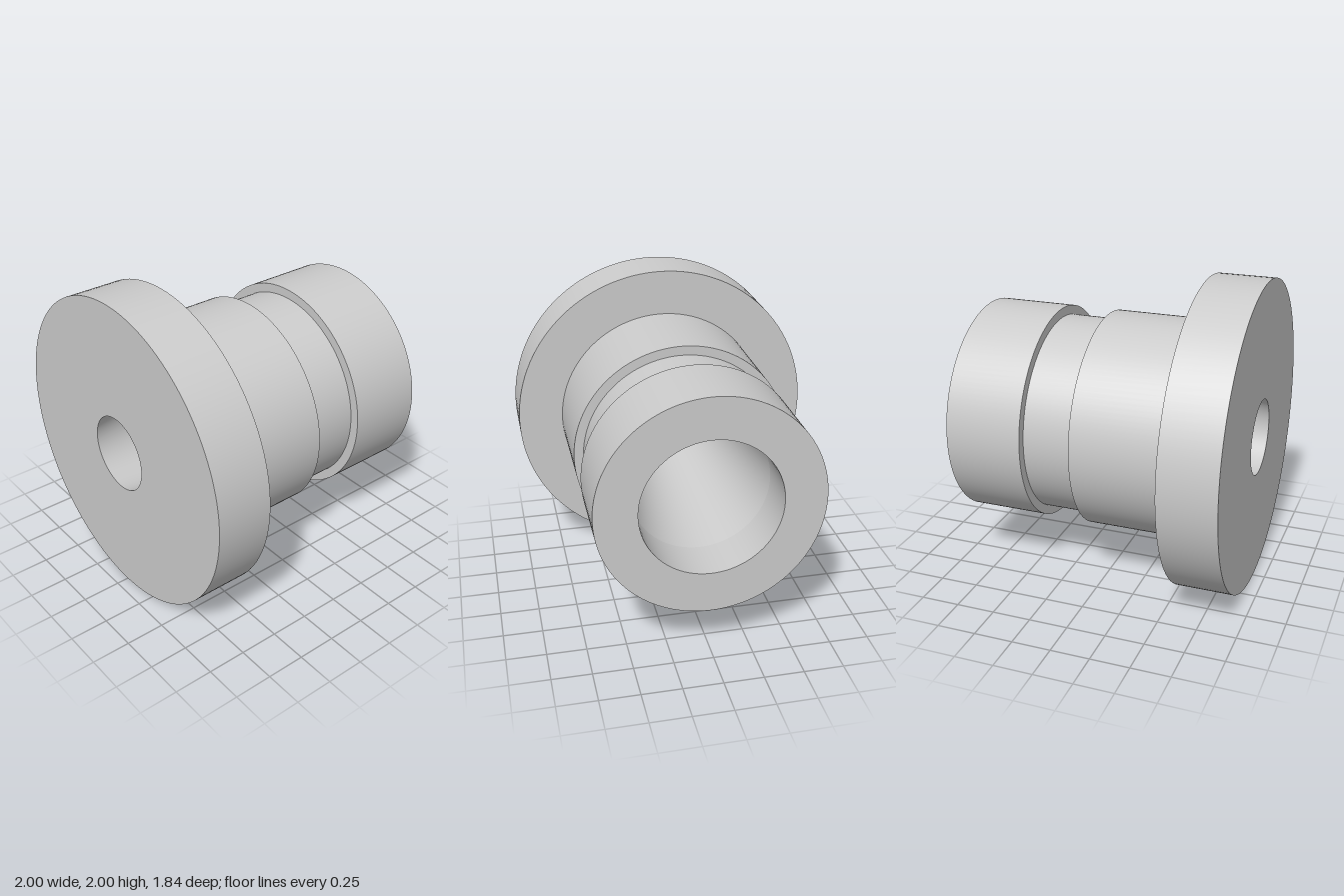
import * as THREE from 'three';
import { mergeGeometries } from 'three/addons/utils/BufferGeometryUtils.js';

const SEGMENTS = 128;

// Turned surface from [radius, z] points; each span is its own lathe so edges stay sharp.
function turned(name, profile, material) {
  const spans = [];
  for (let i = 0; i < profile.length - 1; i++) {
    const pts = [profile[i], profile[i + 1]].map(([r, z]) => new THREE.Vector2(r, z));
    spans.push(new THREE.LatheGeometry(pts, SEGMENTS));
  }
  const geometry = mergeGeometries(spans);
  geometry.rotateX(Math.PI / 2); // lathe axis y becomes z
  const mesh = new THREE.Mesh(geometry, material);
  mesh.name = name;
  return mesh;
}

export function createModel() {
  const material = new THREE.MeshStandardMaterial({ color: 0xcccccc });
  const back = -0.92, front = 0.92, flangeBack = 0.555;
  const grooveBack = -0.42, grooveFront = -0.095, taperStart = -0.61;
  const flangeR = 1, bodyR = 0.705, grooveR = 0.645, boreR = 0.44, holeR = 0.243;

  const group = new THREE.Group();
  group.name = 'flangedBushing';
  group.add(
    // Rear collar with its annular end face
    turned('rearCollar', [[boreR, back], [bodyR, back], [bodyR, grooveBack]], material),
    // Shallow groove with both side walls
    turned('groove', [[bodyR, grooveBack], [grooveR, grooveBack], [grooveR, grooveFront], [bodyR, grooveFront]], material),
    // Main barrel
    turned('barrel', [[bodyR, grooveFront], [bodyR, flangeBack]], material),
    // Wide front flange
    turned('flange', [[bodyR, flangeBack], [flangeR, flangeBack], [flangeR, front], [holeR, front]], material),
    // Bore: narrow at the front, tapering out to a straight rear section
    turned('bore', [[holeR, front], [boreR, taperStart], [boreR, back]], material)
  );
  group.position.y = 1;

  const model = new THREE.Group();
  model.add(group);
  return model;
}
